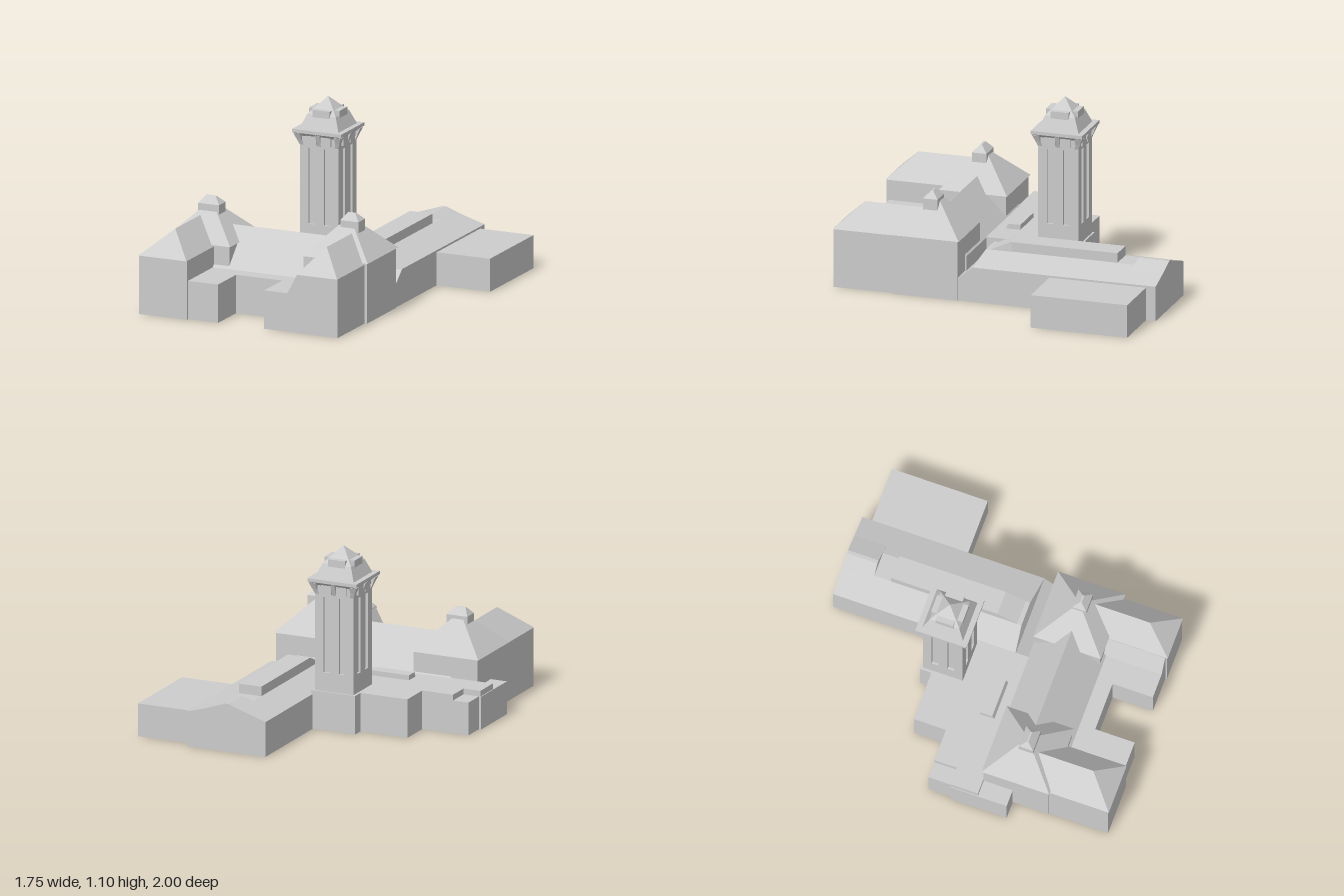
import * as THREE from 'three';

const stone = new THREE.MeshStandardMaterial({ color: 0xcccccc });
stone.name = 'pale grey';

// Solid between two rectangles [x0, x1, z0, z1]; a zero-width top makes a ridge or peak.
function loft(parent, name, a, y0, b, y1) {
  const ring = ([x0, x1, z0, z1], y) =>
    [[x0, y, z1], [x1, y, z1], [x1, y, z0], [x0, y, z0]].map(p => new THREE.Vector3(...p));
  const lo = ring(a, y0), hi = ring(b, y1), pos = [];
  const tri = (p, q, r) => {
    if (new THREE.Triangle(p, q, r).getArea() > 1e-9) for (const v of [p, q, r]) pos.push(v.x, v.y, v.z);
  };
  const quad = (p, q, r, s) => { tri(p, q, r); tri(p, r, s); };
  for (let i = 0; i < 4; i++) {
    const j = (i + 1) % 4;
    quad(lo[i], lo[j], hi[j], hi[i]);
  }
  quad(...hi);
  quad(lo[3], lo[2], lo[1], lo[0]);
  const geo = new THREE.BufferGeometry();
  geo.setAttribute('position', new THREE.Float32BufferAttribute(pos, 3));
  geo.computeVertexNormals();
  const mesh = new THREE.Mesh(geo, stone);
  mesh.name = name;
  parent.add(mesh);
  return mesh;
}
const block = (parent, name, rect, y0, y1) => loft(parent, name, rect, y0, rect, y1);
const square = h => [-h, h, -h, h];

function group(parent, name) {
  const g = new THREE.Group();
  g.name = name;
  parent.add(g);
  return g;
}

// Square corner pavilion with a pyramid roof and a hipped lantern
function pavilion(parent, name, x0, x1, lx0, lx1) {
  const g = group(parent, name), cx = (x0 + x1) / 2, cz = 0.42;
  block(g, 'pavilionWalls', [x0 + 0.01, x1 - 0.01, 0.22, 0.62], 0, 0.37);
  loft(g, 'pavilionRoof', [x0, x1, 0.21, 0.63], 0.365, [cx, cx, cz, cz], 0.58);
  block(g, 'lanternBody', [lx0, lx1, 0.385, 0.475], 0.48, 0.565);
  loft(g, 'lanternRoof', [lx0, lx1, 0.385, 0.475], 0.565, [lx0 + 0.03, lx1 - 0.04, 0.425, 0.435], 0.607);
}

// Front wing with a roof hipped at its front end
function frontWing(parent, name, x0, x1, ridge) {
  const g = group(parent, name);
  block(g, 'wingWalls', [x0, x1, 0.55, 0.99], 0, 0.355);
  loft(g, 'wingRoof', [x0, x1, 0.46, 0.995], 0.355, [ridge, ridge, 0.46, 0.84], 0.5);
  return g;
}

function tower(parent) {
  const g = group(parent, 'tower');
  g.position.set(-0.115, 0, -0.225);
  block(g, 'towerBase', [-0.14, 0.145, -0.135, 0.13], 0, 0.235);
  block(g, 'shaftFoot', square(0.124), 0.2, 0.35);
  block(g, 'shaftCore', square(0.11), 0.35, 0.81);
  block(g, 'shaftHead', square(0.124), 0.81, 0.89);

  // Four matching faces: pilasters, window boxes, brackets and dormer
  for (let i = 0; i < 4; i++) {
    const face = group(g, 'towerFace');
    face.rotation.y = i * Math.PI / 2;
    for (const [a, b] of [[-0.124, -0.07], [-0.03, 0.03], [0.07, 0.124]])
      block(face, 'pilaster', [a, b, 0.1, 0.124], 0.35, 0.81);
    for (const s of [-1, 1])
      block(face, 'windowBox', [s * 0.048 - 0.032, s * 0.048 + 0.032, 0.12, 0.136], 0.832, 0.888);
    for (const x of [-0.112, 0, 0.112])
      loft(face, 'bracket', [x - 0.012, x + 0.012, 0.11, 0.126], 0.825,
        [x * 1.25 - 0.014, x * 1.25 + 0.014, 0.11, 0.152], 0.895);
    block(face, 'dormer', [-0.055, 0.055, 0.03, 0.098], 0.98, 1.034);
  }
  loft(g, 'corniceFlare', square(0.13), 0.88, square(0.157), 0.902);
  block(g, 'corniceSlab', square(0.159), 0.902, 0.922);
  loft(g, 'lowerRoof', square(0.126), 0.922, square(0.092), 1.005);
  loft(g, 'peakRoof', square(0.092), 1.005, square(0), 1.102);
}

export function createModel() {
  const model = new THREE.Group();
  model.name = 'campusBuilding';

  // Main range facing the court
  const main = group(model, 'mainRange');
  block(main, 'rangeWalls', [-0.6, 0.4, 0.21, 0.63], 0, 0.232);
  loft(main, 'rangeRoof', [-0.6, 0.4, 0.21, 0.635], 0.232, [-0.6, 0.4, 0.42, 0.42], 0.446);
  pavilion(main, 'rightPavilion', -0.78, -0.345, -0.625, -0.49);
  pavilion(main, 'leftPavilion', 0.115, 0.545, 0.295, 0.412);

  // Front wings and the low blocks round the court
  frontWing(model, 'rightFrontWing', -0.765, -0.455, -0.6);
  const wing = frontWing(model, 'leftFrontWing', 0.255, 0.52, 0.38);
  loft(wing, 'slopingFlank', [0.19, 0.3, 0.6, 0.98], 0.23, [0.253, 0.3, 0.6, 0.98], 0.35);
  block(model, 'rightCourtBlock', [-0.48, -0.26, 0.6, 0.975], 0, 0.232);
  block(model, 'leftCourtBlock', [0.04, 0.28, 0.6, 0.98], 0, 0.232);
  block(model, 'courtPorch', [-0.27, 0.05, 0.6, 0.73], 0, 0.232);

  // Low flat-roofed rear blocks
  const rear = group(model, 'rearBlocks');
  block(rear, 'centreBlock', [-0.56, 0.03, -0.29, 0.22], 0, 0.235);
  block(rear, 'sideBlock', [-0.86, -0.55, -0.09, 0.22], 0, 0.2);
  block(rear, 'sideRoofStep', [-0.76, -0.55, -0.09, 0.22], 0.19, 0.235);
  block(rear, 'sideRoofEdge', [-0.87, -0.75, 0.05, 0.22], 0.19, 0.235);
  block(rear, 'sideAnnex', [-0.875, -0.77, 0.05, 0.4], 0, 0.2);
  loft(rear, 'skylight', [-0.4, -0.16, 0.065, 0.155], 0.23, [-0.4, -0.16, 0.065, 0.14], 0.265);

  // Long back wing with a low gable and raised roof monitor
  const back = group(model, 'backWing');
  block(back, 'backWingWalls', [0.02, 0.53, -1, 0.13], 0, 0.212);
  loft(back, 'backWingRoof', [0.02, 0.53, -1, 0.13], 0.212, [0.19, 0.34, -1, 0.11], 0.268);
  block(back, 'linkWalls', [0.04, 0.53, 0.12, 0.22], 0, 0.14);
  loft(back, 'linkRoof', [0.04, 0.53, 0.12, 0.215], 0.14, [0.04, 0.53, 0.12, 0.13], 0.21);
  block(back, 'roofMonitor', [0.19, 0.335, -0.7, -0.04], 0.25, 0.326);
  loft(back, 'monitorHip', [0.19, 0.34, -0.05, 0.1], 0.26, [0.19, 0.335, -0.05, -0.04], 0.326);
  loft(back, 'endGable', [0.14, 0.4, -1, -0.8], 0.25, [0.26, 0.28, -1, -0.81], 0.292);
  block(back, 'sideExtension', [0.52, 0.875, -0.94, -0.345], 0, 0.2);

  tower(model);
  return model;
}
